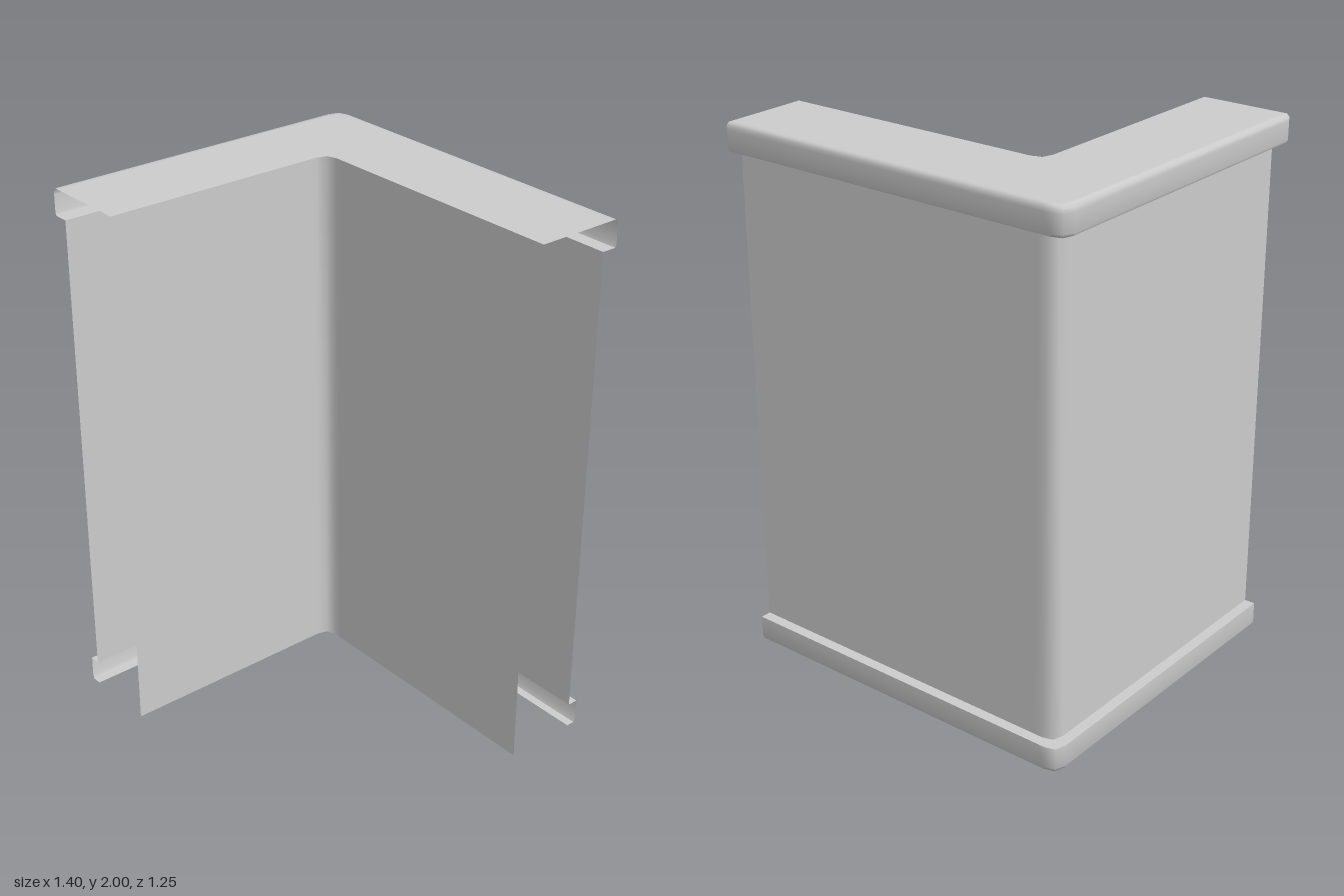
import * as THREE from 'three';
import { toCreasedNormals } from 'three/addons/utils/BufferGeometryUtils.js';

const X = 0.70, Z = 0.625; // half extents of the L-shaped plan

// Plan of the L at inset d: front end, eased corner, right end
function planPath(d) {
  const x = -X + d, z = -Z + d;
  return [
    [x, Z], [x, z + 0.08], [x, z + 0.05], [x + 0.012, z + 0.012],
    [x + 0.05, z], [x + 0.08, z], [X, z],
  ];
}

// Sweep a section of [inset, height] points around the L as a thin sheet
function sweep(name, section, material) {
  const pos = [], index = [];
  const n = planPath(0).length;
  for (const [d, y] of section) {
    for (const [x, z] of planPath(d)) pos.push(x, y, z);
  }
  for (let j = 0; j < section.length - 1; j++) {
    for (let i = 0; i < n - 1; i++) {
      const a = j * n + i, b = a + 1, c = a + n, e = c + 1;
      index.push(a, b, c, b, e, c);
    }
  }
  const geo = new THREE.BufferGeometry();
  geo.setAttribute('position', new THREE.Float32BufferAttribute(pos, 3));
  geo.setIndex(index);
  const mesh = new THREE.Mesh(toCreasedNormals(geo, 1.05), material);
  mesh.name = name;
  return mesh;
}

export function createModel() {
  const group = new THREE.Group();
  group.name = 'cornerWall';
  const material = new THREE.MeshStandardMaterial({ color: 0xcccccc, side: THREE.DoubleSide });

  // full-height sheet on the inside of the corner
  group.add(sweep('innerWall', [[0.34, 0], [0.34, 2]], material));
  // flat top with a lip that turns back under to the outer wall
  group.add(sweep('topCap', [
    [0.34, 2], [0.025, 2], [0.01, 2], [0, 1.99], [0, 1.975],
    [0, 1.91], [0.005, 1.9], [0.06, 1.9],
  ], material));
  // recessed outer wall
  group.add(sweep('outerWall', [[0.06, 1.9], [0.06, 0.095]], material));
  // base trim with a short return along the ground
  group.add(sweep('baseTrim', [
    [0.06, 0.095], [0.02, 0.095], [0.02, 0.015], [0.028, 0], [0.06, 0],
  ], material));

  return group;
}
